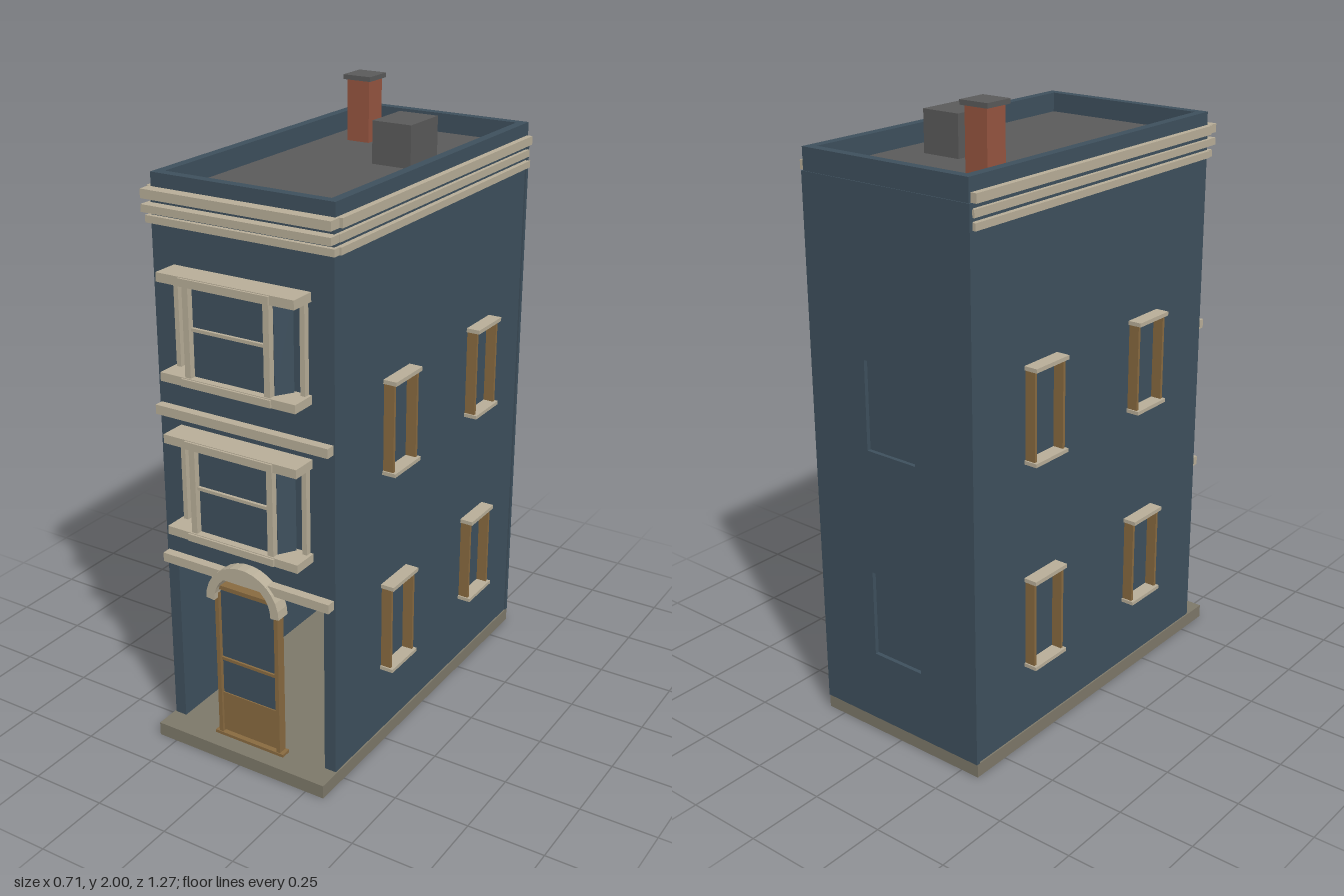
import * as THREE from 'three';

const mat = (name, color) => {
  const m = new THREE.MeshStandardMaterial({ color });
  m.name = name;
  return m;
};

export function createModel() {
  const wall = mat('blue wall', 0x3e505d);
  const stone = mat('pale stone', 0xb8ae98);
  const plinth = mat('plinth stone', 0x7d7869);
  const timber = mat('timber', 0x886a40);
  const roofing = mat('grey roofing', 0x5a5a5a);
  const brick = mat('brick', 0x965540);

  const house = new THREE.Group();
  house.name = 'townHouse';
  const group = (name, parent = house) => {
    const g = new THREE.Group();
    g.name = name;
    parent.add(g);
    return g;
  };
  // Box given by its lower and upper limits on each axis
  const box = (parent, name, m, x0, x1, y0, y1, z0, z1) => {
    const mesh = new THREE.Mesh(new THREE.BoxGeometry(x1 - x0, y1 - y0, z1 - z0), m);
    mesh.position.set((x0 + x1) / 2, (y0 + y1) / 2, (z0 + z1) / 2);
    mesh.name = name;
    parent.add(mesh);
    return mesh;
  };

  // Plinth, also the ground floor
  box(house, 'plinth', plinth, -0.315, 0.315, 0, 0.045, -0.63, 0.62);

  // Walls: open room below, solid storeys above
  const walls = group('walls');
  box(walls, 'upperStoreys', wall, -0.31, 0.31, 0.62, 1.78, -0.62, 0.54);
  box(walls, 'groundBackWall', wall, -0.31, 0.31, 0.045, 0.62, -0.62, -0.58);
  for (const s of [-1, 1]) {
    const [a, b] = s < 0 ? [-0.31, -0.27] : [0.27, 0.31];
    box(walls, 'groundSideWall', wall, a, b, 0.045, 0.62, -0.58, 0.54);
  }

  // Rear facing with recessed windows
  const rear = new THREE.Shape();
  rear.moveTo(-0.315, 0.045).lineTo(0.315, 0.045).lineTo(0.315, 1.78).lineTo(-0.315, 1.78).closePath();
  for (const y of [0.28, 0.97]) {
    const hole = new THREE.Path();
    hole.moveTo(-0.095, y).lineTo(-0.095, y + 0.285).lineTo(0.095, y + 0.285).lineTo(0.095, y).closePath();
    rear.holes.push(hole);
  }
  const rearFace = new THREE.Mesh(new THREE.ExtrudeGeometry(rear, { depth: 0.014, bevelEnabled: false }), wall);
  rearFace.position.z = -0.633;
  rearFace.name = 'rearFacing';
  walls.add(rearFace);

  // Parapet and roof
  const parapet = group('parapet');
  for (const [x0, x1] of [[-0.31, -0.28], [0.28, 0.31]])
    box(parapet, 'parapetSide', wall, x0, x1, 1.78, 1.85, -0.63, 0.535);
  for (const [z0, z1] of [[-0.63, -0.6], [0.505, 0.535]])
    box(parapet, 'parapetEnd', wall, -0.28, 0.28, 1.78, 1.85, z0, z1);
  box(house, 'roof', roofing, -0.28, 0.28, 1.775, 1.787, -0.6, 0.505);
  box(house, 'roofHatch', roofing, 0.04, 0.175, 1.787, 1.92, -0.265, -0.1);
  box(house, 'chimney', brick, -0.195, -0.115, 1.787, 1.985, -0.415, -0.335);
  box(house, 'chimneyCap', roofing, -0.205, -0.105, 1.985, 2, -0.425, -0.325);

  // Stepped cornice around the front and both sides
  const cornice = group('cornice');
  for (const [y0, y1, out] of [[1.705, 1.727, 0.016], [1.74, 1.763, 0.012], [1.78, 1.808, 0.02]]) {
    box(cornice, 'frontBand', stone, -0.32, 0.32, y0, y1, 0.53, 0.555 + (y0 > 1.73 ? 0.018 : 0));
    for (const s of [-1, 1]) {
      const edge = 0.31 + out;
      box(cornice, 'sideBand', stone, s < 0 ? -edge : 0.3, s < 0 ? -0.3 : edge, y0, y1, -0.622, 0.53);
    }
  }

  // String courses
  for (const y of [0.62, 1.12])
    box(house, 'stringCourse', stone, -0.305, 0.305, y, y + 0.03, 0.53, 0.57);

  // Bay windows
  for (const y of [0.76, 1.26]) {
    const bay = group('bayWindow');
    box(bay, 'sill', stone, -0.235, 0.235, y, y + 0.027, 0.53, 0.625);
    box(bay, 'sillLip', stone, -0.155, 0.155, y + 0.002, y + 0.025, 0.625, 0.632);
    box(bay, 'head', stone, -0.235, 0.235, y + 0.302, y + 0.33, 0.53, 0.625);
    box(bay, 'headLip', stone, -0.155, 0.155, y + 0.304, y + 0.328, 0.625, 0.632);
    box(bay, 'frontPane', wall, -0.135, 0.135, y + 0.027, y + 0.302, 0.592, 0.6);
    box(bay, 'sashRail', stone, -0.13, 0.13, y + 0.168, y + 0.178, 0.595, 0.61);
    for (const s of [-1, 1]) {
      const post = (name, x, w, z0, z1) =>
        box(bay, name, stone, s * x - w / 2, s * x + w / 2, y + 0.027, y + 0.302, z0, z1);
      post('outerPost', 0.217, 0.016, 0.535, 0.56);
      post('innerPost', 0.138, 0.02, 0.594, 0.62);
      const pane = box(bay, 'sidePane', wall, -0.03, 0.03, y + 0.027, y + 0.302, -0.004, 0.004);
      pane.position.x = s * 0.162;
      pane.position.z = 0.572;
      pane.rotation.y = s * 1.0;
    }
  }

  // Side windows on both long walls
  for (const s of [-1, 1])
    for (const zc of [-0.32, 0.2])
      for (const y of [0.275, 0.955]) {
        const win = group('sideWindow');
        const part = (name, m, out, y0, y1, z0, z1) =>
          box(win, name, m, s < 0 ? -out : 0.305, s < 0 ? -0.305 : out, y0, y1, zc + z0, zc + z1);
        part('sill', stone, 0.355, y, y + 0.012, -0.077, 0.077);
        part('lintel', stone, 0.355, y + 0.293, y + 0.306, -0.077, 0.077);
        part('jamb', timber, 0.345, y + 0.012, y + 0.293, -0.072, -0.062);
        part('jamb', timber, 0.345, y + 0.012, y + 0.293, 0.062, 0.072);
      }

  // Front door
  const door = group('frontDoor');
  box(door, 'threshold', timber, -0.13, 0.13, 0.045, 0.055, 0.53, 0.565);
  for (const s of [-1, 1])
    box(door, 'jamb', timber, s * 0.11 - 0.007, s * 0.11 + 0.007, 0.05, 0.595, 0.53, 0.562);
  box(door, 'header', timber, -0.103, 0.103, 0.578, 0.592, 0.53, 0.562);
  box(door, 'lowerPanel', timber, -0.103, 0.103, 0.06, 0.2, 0.54, 0.553);
  box(door, 'middleRail', timber, -0.103, 0.103, 0.322, 0.332, 0.54, 0.556);
  box(door, 'doorPane', wall, -0.103, 0.103, 0.2, 0.578, 0.541, 0.549);

  // Arch of stone blocks over the door
  const arch = group('doorArch');
  const blocks = 15;
  for (let i = 0; i < blocks; i++) {
    const a = (Math.PI * (i + 0.5)) / blocks;
    const block = box(arch, 'archBlock', stone, -0.015, 0.015, -0.014, 0.014, -0.024, 0.024);
    block.position.set(0.119 * Math.cos(a), 0.55 + 0.116 * Math.sin(a), 0.557);
    block.rotation.z = a;
  }
  return house;
}
